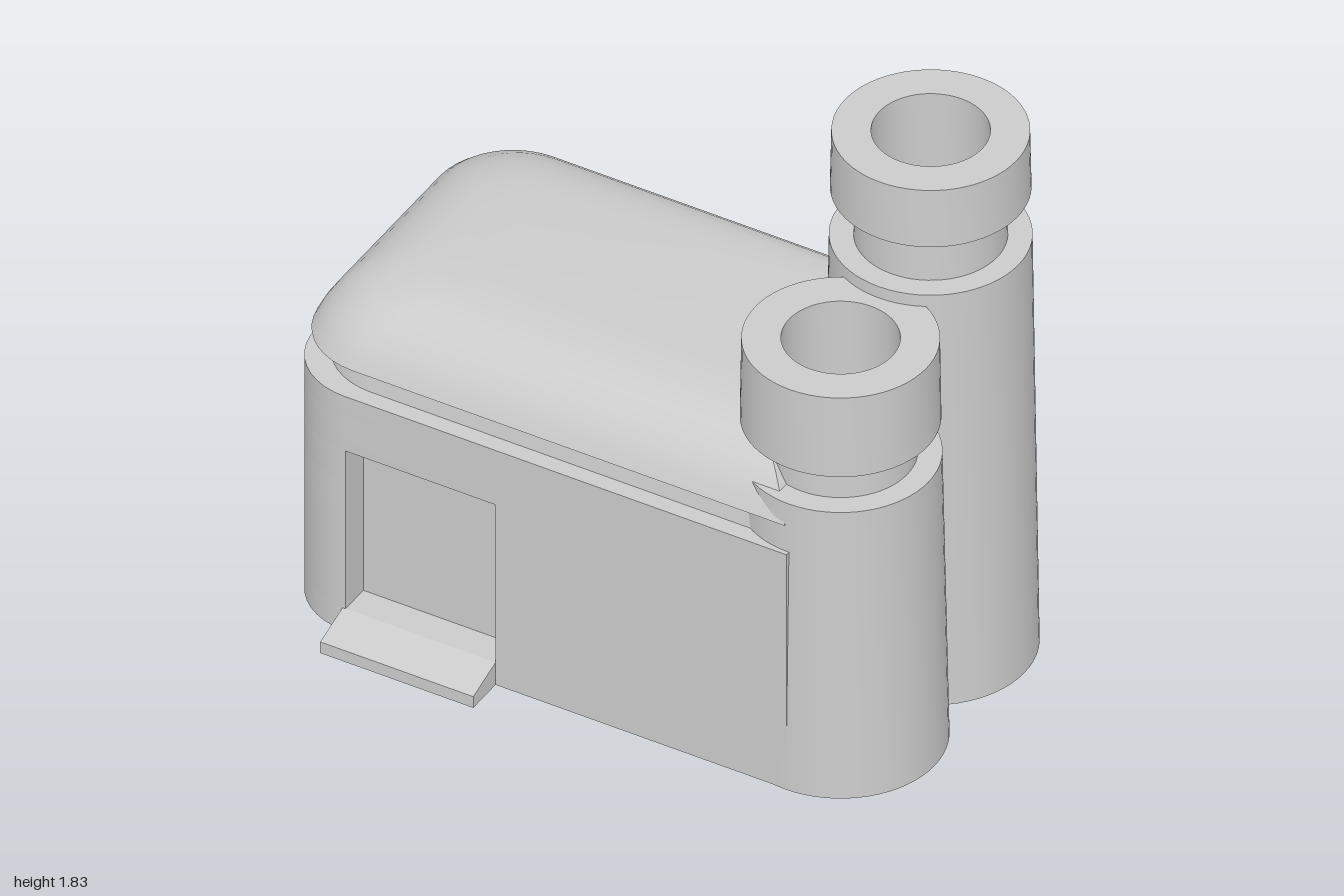
import * as THREE from 'three';
import { toCreasedNormals } from 'three/addons/utils/BufferGeometryUtils.js';

const material = new THREE.MeshStandardMaterial({ color: 0xcccccc });

function part(name, geometry, crease = 0.5) {
  const mesh = new THREE.Mesh(toCreasedNormals(geometry, crease), material);
  mesh.name = name;
  return mesh;
}

// Plan outline as [x, -z] points, counterclockwise from above: the two corners at -x are round.
function planOutline(inset, radius, frontNotch = [], backNotch = []) {
  const x0 = -1 + inset, x1 = 0.69 - inset;
  const front = -0.5 + inset, back = 0.62 - inset;
  const arc = (cx, cy, start) => Array.from({ length: 11 }, (_, i) => {
    const a = start + (i / 10) * Math.PI / 2;
    return [cx + radius * Math.cos(a), cy + radius * Math.sin(a)];
  });
  return [
    ...arc(x0 + radius, front + radius, Math.PI),
    ...frontNotch,
    [x1, front], [x1, back],
    ...backNotch,
    ...arc(x0 + radius, back - radius, Math.PI / 2),
  ];
}

// Walls are stacked slabs whose outlines are notched for the doorway and the rear window.
function createBody() {
  const body = new THREE.Group();
  body.name = 'body';
  const door = [[-0.765, -0.5], [-0.765, -0.4], [-0.27, -0.4], [-0.27, -0.5]];
  const window = [[0.275, 0.62], [0.275, 0.41], [-0.69, 0.41], [-0.69, 0.62]];
  const slabs = [
    ['plinth', 0, 0.08, [], []],
    ['doorwayWall', 0.08, 0.54, door, []],
    ['doorwayAndWindowWall', 0.54, 0.645, door, window],
    ['windowWall', 0.645, 0.77, [], window],
    ['topWall', 0.77, 0.84, [], []],
  ];
  for (const [name, y0, y1, frontNotch, backNotch] of slabs) {
    const points = planOutline(0, 0.23, frontNotch, backNotch);
    const shape = new THREE.Shape(points.map(([x, y]) => new THREE.Vector2(x, y)));
    const geometry = new THREE.ExtrudeGeometry(shape, { depth: y1 - y0, bevelEnabled: false });
    geometry.rotateX(-Math.PI / 2).translate(0, y0, 0);
    body.add(part(name, geometry));
  }
  return body;
}

// Roof: recessed collar, overhanging eave and cushion dome, lofted through inset outlines.
function createRoof() {
  const profile = [ // [inset, height]
    [0.055, 0.84], [0.07, 0.93], [0.013, 0.93], [0.03, 0.97], [0.055, 1.01], [0.09, 1.05],
    [0.135, 1.085], [0.19, 1.11], [0.25, 1.125], [0.33, 1.132],
  ];
  const positions = [], index = [];
  let count = 0;
  for (const [inset, y] of profile) {
    const ring = planOutline(inset, 0.24 - 0.2 * inset);
    count = ring.length;
    for (const [x, v] of ring) positions.push(x, y, -v);
  }
  const last = (profile.length - 1) * count, centre = profile.length * count;
  positions.push(-0.15, 1.132, -0.06);
  for (let i = 0; i < count; i++) {
    const j = (i + 1) % count;
    for (let a = 0; a < last; a += count) {
      index.push(a + i, a + j, a + count + j, a + i, a + count + j, a + count + i);
    }
    index.push(last + i, last + j, centre);
  }
  const geometry = new THREE.BufferGeometry();
  geometry.setAttribute('position', new THREE.Float32BufferAttribute(positions, 3));
  geometry.setIndex(index);
  return part('roof', geometry, 0.65);
}

// Tapered chimney with a narrow neck and a hollow cap.
function createChimney(name, z, shoulder, capBottom, capTop) {
  const profile = [
    [0, 0], [0.31, 0], [0.29, shoulder], [0.22, shoulder], [0.215, capBottom],
    [0.287, capBottom], [0.283, capTop], [0.17, capTop], [0.17, capTop - 0.3], [0, capTop - 0.3],
  ].map(([r, y]) => new THREE.Vector2(r, y));
  const chimney = part(name, new THREE.LatheGeometry(profile, 64));
  chimney.position.set(0.688, 0, z);
  return chimney;
}

// Sloping doorstep, a wedge extruded across the doorway.
function createRamp() {
  const side = new THREE.Shape([[-0.48, 0], [-0.48, 0.08], [-0.5, 0.08], [-0.625, 0.04], [-0.625, 0]]
    .map(([x, y]) => new THREE.Vector2(x, y)));
  const geometry = new THREE.ExtrudeGeometry(side, { depth: 0.505, bevelEnabled: false });
  geometry.rotateY(Math.PI / 2).translate(-0.775, 0, 0);
  return part('ramp', geometry, 0.2);
}

export function createModel() {
  const model = new THREE.Group();
  model.name = 'factory';
  model.add(
    createBody(),
    createRoof(),
    createRamp(),
    createChimney('frontChimney', 0.193, 1.01, 1.135, 1.415),
    createChimney('backChimney', -0.312, 1.455, 1.625, 1.825),
  );
  return model;
}
